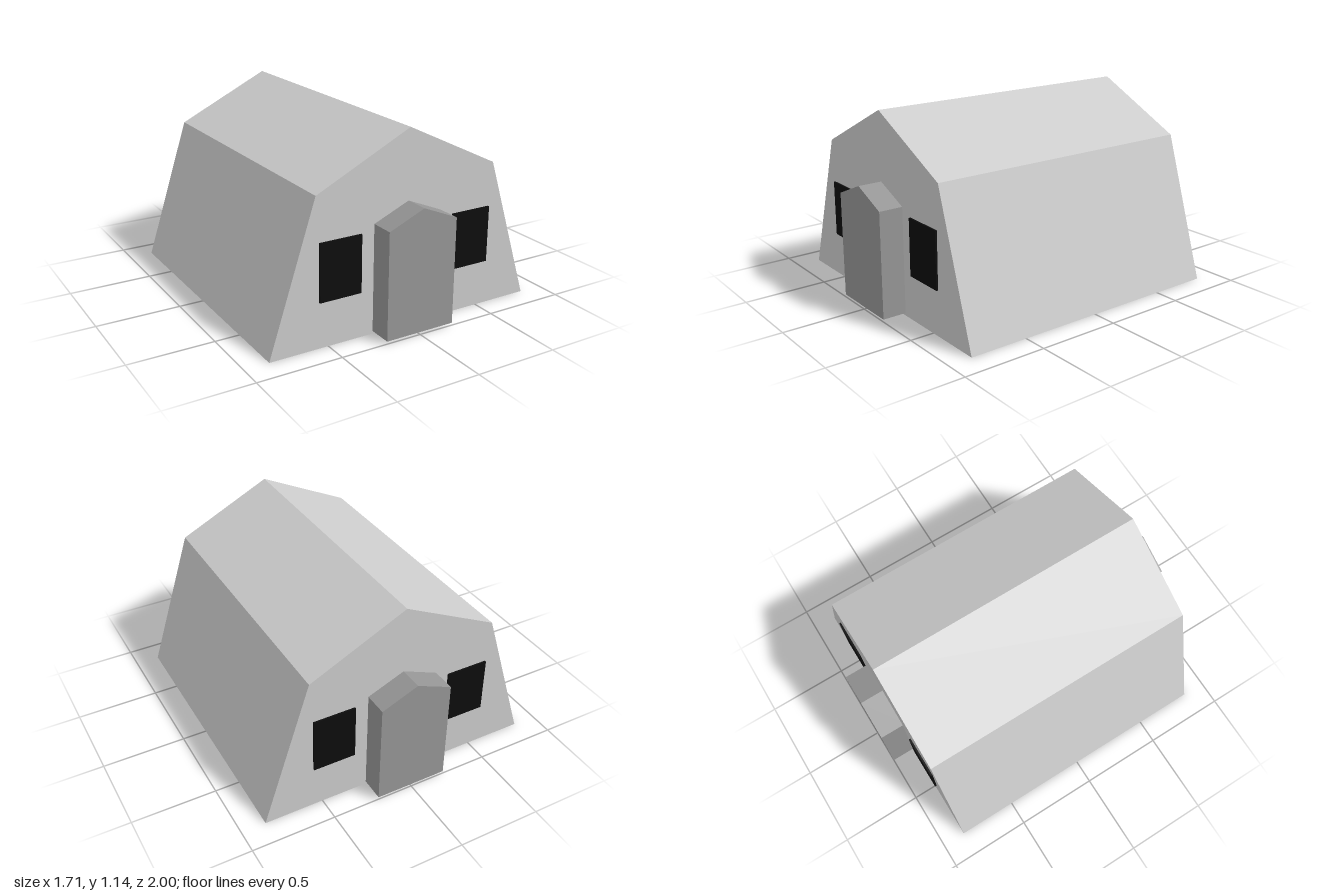
import * as THREE from 'three';

const mat = (name, color) =>
  new THREE.MeshStandardMaterial({ name, color, side: THREE.DoubleSide });

// Open-bottomed shell: walls along a profile (counter-clockwise seen from +z), no floor
function wallStrip(profile, z0, z1) {
  const pos = [];
  for (let i = 0; i < profile.length - 1; i++) {
    const [ax, ay] = profile[i], [bx, by] = profile[i + 1];
    pos.push(ax, ay, z0, bx, by, z0, bx, by, z1, ax, ay, z0, bx, by, z1, ax, ay, z1);
  }
  const geo = new THREE.BufferGeometry();
  geo.setAttribute('position', new THREE.Float32BufferAttribute(pos, 3));
  geo.computeVertexNormals();
  return geo;
}

// Flat end panel filling the profile
function endPanel(profile, z) {
  const shape = new THREE.Shape(profile.map(([x, y]) => new THREE.Vector2(x, y)));
  return new THREE.ShapeGeometry(shape).translate(0, 0, z);
}

// Walls plus a front panel, open at the bottom and the rear
function hood(name, profile, z0, z1, material) {
  const group = new THREE.Group();
  group.name = name;
  const sides = new THREE.Mesh(wallStrip(profile, z0, z1), material);
  sides.name = name + 'Sides';
  const face = new THREE.Mesh(endPanel(profile, z1), material);
  face.name = name + 'Face';
  group.add(sides, face);
  return group;
}

export function createModel() {
  const canvas = mat('light grey canvas', 0xcccccc);
  const porchGrey = mat('mid grey canvas', 0x969696);
  const black = mat('window black', 0x0d0d0d);

  const model = new THREE.Group();
  model.name = 'tent';
  const half = 0.857;
  const tent = [[0.855, 0], [0.575, 0.862], [0, 1.142], [-0.575, 0.862], [-0.855, 0]];
  const porch = [[0.218, 0.015], [0.218, 0.643], [0, 0.735], [-0.218, 0.643], [-0.218, 0.015]];

  // Side walls and roof
  const shell = new THREE.Mesh(wallStrip(tent, -half, half), canvas);
  shell.name = 'wallsAndRoof';
  model.add(shell);

  // Matching ends, each with a gable, porch and two windows
  for (const [name, turn] of [['front', 0], ['back', Math.PI]]) {
    const end = new THREE.Group();
    end.name = name + 'End';
    end.rotation.y = turn;
    const gable = new THREE.Mesh(endPanel(tent, half), canvas);
    gable.name = 'gable';
    end.add(gable, hood('porch', porch, 0.836, 1, porchGrey));
    for (const [side, x] of [['left', 0.428], ['right', -0.428]]) {
      const w = 0.128;
      const pane = [[x + w, 0.268], [x + w, 0.604], [x - w, 0.604], [x - w, 0.268]];
      end.add(hood(side + 'Window', pane, 0.81, 0.868, black));
    }
    model.add(end);
  }
  return model;
}
